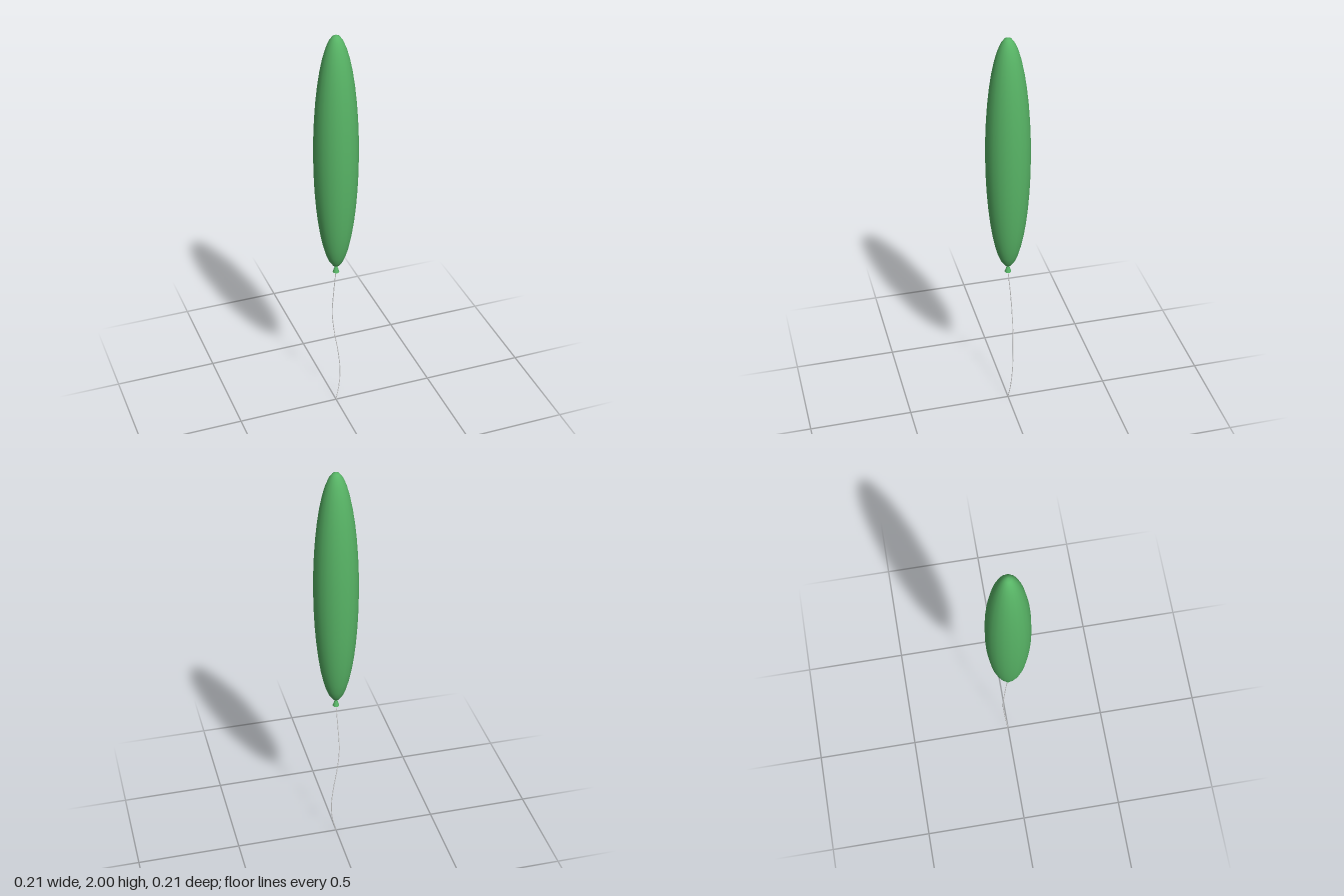
import * as THREE from 'three';

export function createModel() {
  const model = new THREE.Group();
  const green = new THREE.MeshStandardMaterial({ color: 0x58b566 });
  green.name = 'balloon green';
  const pale = new THREE.MeshStandardMaterial({ color: 0xdedede });
  pale.name = 'string pale grey';

  const add = (name, geometry, material) => {
    const mesh = new THREE.Mesh(geometry, material);
    mesh.name = name;
    model.add(mesh);
  };

  // Long inflated body, stretched from a sphere
  const body = new THREE.SphereGeometry(1, 20, 20);
  body.scale(0.104, 0.598, 0.104);
  body.translate(0, 1.402, 0);
  add('balloonBody', body, green);

  // Small flared knot under the body
  const knot = new THREE.CylinderGeometry(0.004, 0.016, 0.036, 12);
  knot.translate(0, 0.79, 0);
  add('knot', knot, green);

  // Thin wavy string hanging from the knot
  const path = new THREE.CatmullRomCurve3([
    [0, 0, 0],
    [0.019, 0.08, -0.008],
    [0.027, 0.17, -0.015],
    [0.019, 0.28, -0.021],
    [0.001, 0.4, -0.025],
    [-0.011, 0.52, -0.023],
    [-0.007, 0.64, -0.014],
    [0, 0.775, 0],
  ].map((p) => new THREE.Vector3(...p)));
  add('string', new THREE.TubeGeometry(path, 40, 0.002, 6), pale);

  return model;
}
